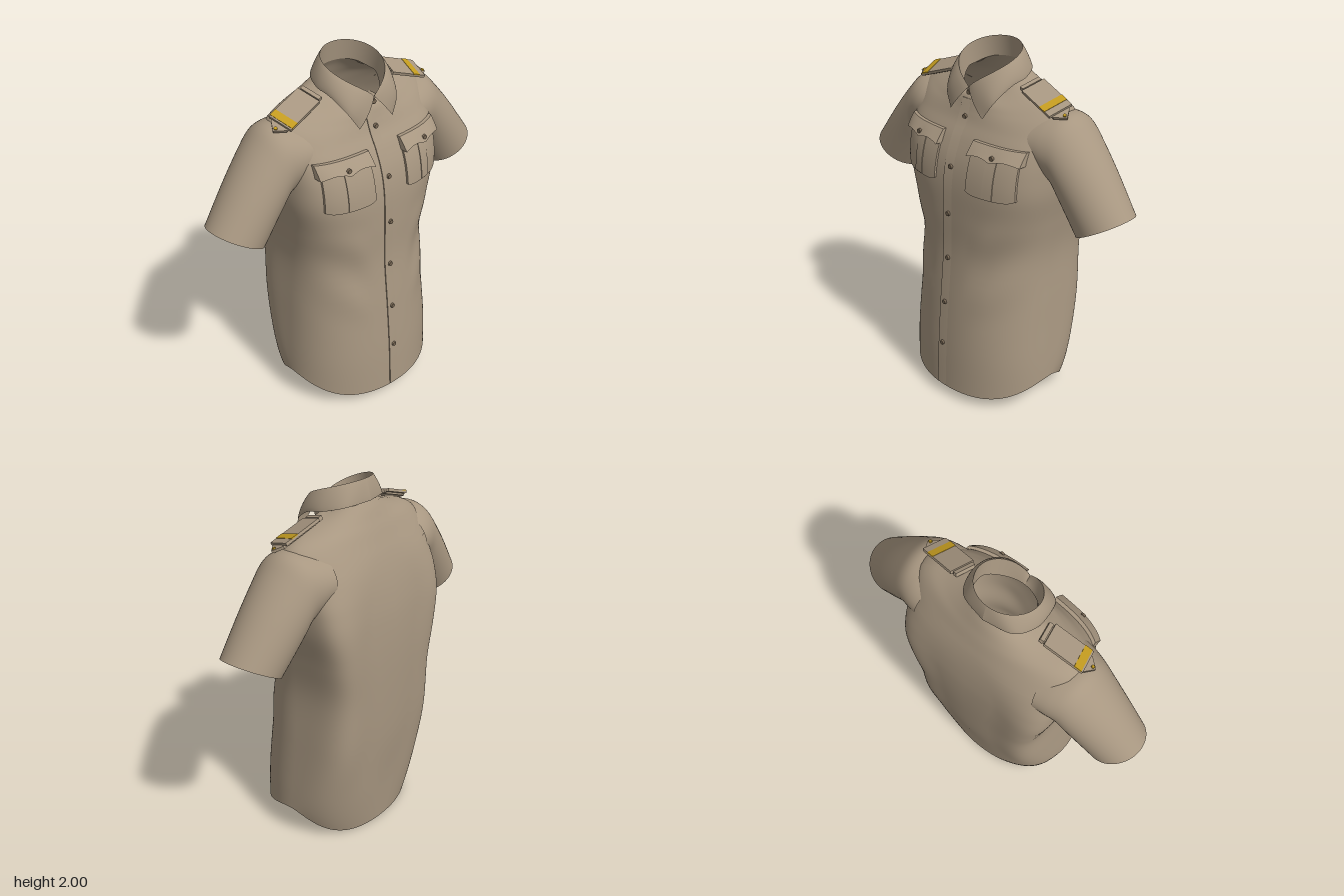
import * as THREE from 'three';
import { mergeVertices, toCreasedNormals } from 'three/addons/utils/BufferGeometryUtils.js';

const { lerp, smoothstep } = THREE.MathUtils;

// Torso rows: side, front and back height, half width, front z, back z, middle z, front and back squareness
const ROWS = [
  [0.165, 0.06, 0, 0.463, 0.38, -0.312, 0, 2.1, 2.1],
  [0.3, 0.3, 0.3, 0.457, 0.368, -0.335, -0.02, 2.2, 3.2],
  [0.6, 0.6, 0.6, 0.436, 0.343, -0.36, -0.03, 2.2, 4.4],
  [0.9, 0.9, 0.9, 0.418, 0.313, -0.37, -0.03, 2.3, 5],
  [1.12, 1.12, 1.12, 0.442, 0.308, -0.37, -0.03, 2.6, 6],
  [1.3, 1.3, 1.3, 0.474, 0.3, -0.36, -0.03, 3, 6.5],
  [1.43, 1.43, 1.43, 0.483, 0.277, -0.343, -0.04, 3.2, 5.5],
  [1.54, 1.54, 1.54, 0.487, 0.235, -0.32, -0.045, 3.2, 4],
  [1.64, 1.62, 1.63, 0.497, 0.192, -0.293, -0.055, 2.7, 2.8],
  [1.72, 1.67, 1.7, 0.487, 0.172, -0.265, -0.06, 2.2, 2.2],
  [1.768, 1.7, 1.755, 0.42, 0.162, -0.242, -0.06, 2, 2],
  [1.8, 1.73, 1.8, 0.31, 0.152, -0.22, -0.05, 2, 2],
  [1.83, 1.75, 1.85, 0.215, 0.14, -0.195, -0.03, 2, 2],
  [1.845, 1.76, 1.885, 0.165, 0.122, -0.172, -0.025, 2, 2],
];
// Sleeve rings: top x, top y, bottom x, bottom y, front z, back z
const SLEEVE = [
  [0.36, 1.725, 0.4, 1.42, 0.15, -0.28],
  [0.45, 1.735, 0.44, 1.385, 0.142, -0.27],
  [0.53, 1.723, 0.485, 1.34, 0.13, -0.254],
  [0.61, 1.65, 0.525, 1.275, 0.125, -0.243],
  [0.74, 1.5, 0.565, 1.21, 0.12, -0.225],
  [0.9, 1.29, 0.62, 1.13, 0.115, -0.2],
];

// Smooth interpolation through the rows of a table
function sample(table, t) {
  const n = table.length - 1, i = Math.min(Math.floor(t), n - 1), f = t - i;
  const a = table[Math.max(i - 1, 0)], b = table[i], c = table[i + 1], d = table[Math.min(i + 2, n)];
  return b.map((p, k) => p + 0.5 * f * (c[k] - a[k]
    + f * (2 * a[k] - 5 * p + 4 * c[k] - d[k] + f * (3 * (p - c[k]) + d[k] - a[k]))));
}

// Surface from a rule f(u, v) -> [x, y, z]
function grid(f, nu, nv) {
  const pos = [], index = [], w = nu + 1;
  for (let j = 0; j <= nv; j++) for (let i = 0; i <= nu; i++) pos.push(...f(i / nu, j / nv));
  for (let j = 0; j < nv; j++) for (let i = 0; i < nu; i++) {
    const a = j * w + i;
    index.push(a, a + 1, a + w + 1, a, a + w + 1, a + w);
  }
  const g = new THREE.BufferGeometry();
  g.setAttribute('position', new THREE.Float32BufferAttribute(pos, 3));
  g.setIndex(index);
  const merged = mergeVertices(g, 1e-5);
  merged.computeVertexNormals();
  return merged;
}

// Soft cloth folds at the waist and down the back
function fold(x, y, q) {
  const band = smoothstep(y, 0.45, 0.8) * (1 - smoothstep(y, 0.95, 1.25));
  if (q > 0) return 0.009 * q * band * smoothstep(Math.abs(x), 0.1, 0.25) * Math.sin(16 * (y - 0.8 * Math.abs(x)));
  return 0.007 * q * Math.cos(16 * x) * smoothstep(y, 0.2, 0.6) * (1 - smoothstep(y, 1.2, 1.6));
}

function torsoPoint(angle, t, out = 0) {
  const [ys, yf, yb, hw, zf, zb, zm, nf, nb] = sample(ROWS, t);
  const c = Math.cos(angle), s = Math.sin(angle), e = 2 / (s > 0 ? nf : nb);
  const x = hw * Math.sign(c) * Math.abs(c) ** e, q = Math.sign(s) * Math.abs(s) ** e;
  const y = lerp(ys, s > 0 ? yf : yb, smoothstep(Math.abs(q), 0, 1));
  const z = zm + q * (s > 0 ? zf - zm : zm - zb) + fold(x, y, q);
  return [x + out * c, y, z + out * s];
}

// Row parameter at a height, measured on the front or back
function rowAt(y, column) {
  let lo = 0, hi = ROWS.length - 1;
  for (let k = 0; k < 30; k++) {
    const mid = (lo + hi) / 2;
    if (sample(ROWS, mid)[column] < y) lo = mid; else hi = mid;
  }
  return lo;
}

function frontZ(x, y) {
  const [, , , hw, zf, , zm, n] = sample(ROWS, rowAt(y, 1));
  const q = Math.max(0, 1 - Math.abs(x / hw) ** n) ** (1 / n);
  return zm + q * (zf - zm) + fold(x, y, q);
}

// Raised cloth patch on the chest, with its edges turned down
function patch(x0, x1, bottom, top, depth, nu, nv) {
  const g = grid((u, v) => {
    const i = Math.round(u * (nu + 2)), j = Math.round(v * (nv + 2));
    const edge = i === 0 || j === 0 || i === nu + 2 || j === nv + 2;
    const a = THREE.MathUtils.clamp((i - 1) / nu, 0, 1), b = THREE.MathUtils.clamp((j - 1) / nv, 0, 1);
    const x = lerp(x0, x1, a), y = lerp(bottom(a), top(a), b);
    return [x, y, frontZ(x, y) + (edge ? -0.004 : depth(a, b))];
  }, nu + 2, nv + 2);
  return toCreasedNormals(g, 0.7);
}

export function createModel() {
  const model = new THREE.Group();
  const mat = (name, color) => {
    const m = new THREE.MeshStandardMaterial({ color, side: THREE.DoubleSide });
    m.name = name;
    return m;
  };
  const cloth = mat('khaki cloth', 0xa89781);
  const gold = mat('gold braid', 0xc49c20);
  const buttonBrown = mat('button brown', 0x776754);
  const add = (name, geometry, material = cloth, parent = model) => {
    const mesh = new THREE.Mesh(geometry, material);
    mesh.name = name;
    parent.add(mesh);
    return mesh;
  };
  const last = ROWS.length - 1;

  // Body and back yoke
  add('body', grid((u, v) => torsoPoint(-2 * Math.PI * u, v * last), 144, 78));
  const yokeStart = rowAt(1.61, 2);
  add('backYoke', grid((u, v) => torsoPoint(-lerp(0.2, Math.PI - 0.2, u),
    lerp(yokeStart, last - 0.6, v), 0.003), 64, 24));

  // Button placket, standing proud along one edge only
  add('placket', patch(-0.052, 0.045, () => 0.065, () => 1.735, (a) => 0.005 - 0.008 * a, 4, 60));

  const button = (name, x, y, z) => {
    const b = add(name, new THREE.CylinderGeometry(0.012, 0.014, 0.012, 16), buttonBrown);
    b.position.set(x, y, z);
    b.rotation.x = Math.PI / 2;
  };
  for (const y of [0.34, 0.6, 0.87, 1.135, 1.4, 1.65]) button('frontButton', -0.024 + 0.01 * y, y, frontZ(0, y) + 0.006);
  button('collarButton', 0, 1.775, 0.16);

  // Collar: fold line on top, standing band inside, falling leaf outside
  const foldLine = (a, s) => [s * 0.168 * Math.sin(a),
    1.803 + 0.197 * ((1 - Math.cos(a)) / 2) ** 0.4, 0.003 + 0.158 * Math.cos(a)];
  const leafEdge = new THREE.CatmullRomCurve3([
    [0.115, 1.665, 0.18], [0.17, 1.755, 0.152], [0.205, 1.83, 0.06],
    [0.21, 1.855, -0.04], [0.155, 1.882, -0.145], [0, 1.89, -0.188],
  ].map((p) => new THREE.Vector3(...p)));

  for (const s of [1, -1]) {
    const side = s > 0 ? 'left' : 'right';

    add(side + 'CollarBand', grid((u, v) => {
      const a = u * Math.PI, c = Math.cos(a), top = foldLine(a, s);
      const base = [s * 0.165 * Math.sin(a), 1.845 + (c > 0 ? -0.085 : 0.04) * smoothstep(Math.abs(c), 0, 1), -0.025 + 0.147 * c];
      return base.map((p, k) => lerp(p, top[k], v));
    }, 40, 4));

    add(side + 'CollarLeaf', grid((u, v) => {
      const a = u * Math.PI, top = foldLine(a, s), e = leafEdge.getPoint(u);
      const bulge = (0.009 + 0.005 * Math.cos(a)) * Math.sin(Math.PI * v) ** 0.7;
      return [lerp(top[0], s * e.x, v) + s * bulge * Math.sin(a), lerp(top[1], e.y, v),
        lerp(top[2], e.z, v) + bulge * Math.cos(a)];
    }, 40, 10));

    // Short sleeve
    add(side + 'Sleeve', grid((u, v) => {
      const [tx, ty, bx, by, zf, zb] = sample(SLEEVE, v * (SLEEVE.length - 1));
      const a = u * 2 * Math.PI, k = (1 - Math.cos(a)) / 2;
      return [s * lerp(tx, bx, k), lerp(ty, by, k), (zf + zb) / 2 + (zf - zb) / 2 * Math.sin(a)];
    }, 56, 30));

    // Chest pocket with pleat, flap and button
    const xs = (a, b) => (s > 0 ? [a, b] : [-b, -a]);
    add(side + 'Pocket', patch(...xs(0.115, 0.395), (u) => 1.295 + 0.015 * Math.abs(2 * u - 1) ** 6,
      () => 1.54, () => 0.012, 16, 10));
    add(side + 'PocketPleat', patch(...xs(0.225, 0.285), () => 1.3, () => 1.52, () => 0.016, 3, 8));
    add(side + 'PocketFlap', patch(...xs(0.11, 0.415),
      (u) => 1.497 + 0.016 * Math.sin(2 * Math.PI * Math.abs(u - 0.5)), () => 1.567,
      (u, v) => 0.02 + 0.024 * (1 - v), 18, 6));
    button(side + 'PocketButton', s * 0.267, 1.52, frontZ(0.267, 1.52) + 0.038);

    // Shoulder board: pointed strap, slip-on board, braid, inner loop and end stud
    const board = new THREE.Group();
    board.name = side + 'ShoulderBoard';
    board.position.set(s * 0.375, 1.793, -0.01);
    board.rotation.set(0.3, -0.14 * s, -0.33 * s, 'YZX');
    model.add(board);
    const strap = new THREE.Shape([[-0.13, -0.05], [0.12, -0.05], [0.165, 0], [0.12, 0.05], [-0.13, 0.05]]
      .map(([x, y]) => new THREE.Vector2(s * x, y)));
    const strapGeometry = new THREE.ExtrudeGeometry(strap, { depth: 0.014, bevelEnabled: false });
    strapGeometry.rotateX(Math.PI / 2);
    add('strap', strapGeometry, cloth, board).position.y = -0.004;
    add('board', new THREE.BoxGeometry(0.225, 0.016, 0.138), cloth, board);
    add('braid', new THREE.BoxGeometry(0.042, 0.006, 0.14), gold, board)
      .position.set(s > 0 ? 0.052 : -0.082, 0.007, 0);
    add('loop', new THREE.BoxGeometry(0.022, 0.022, 0.115), cloth, board).position.set(s * -0.13, -0.004, 0);
    add('endStud', new THREE.CylinderGeometry(0.009, 0.009, 0.008, 14), gold, board).position.set(s * 0.145, -0.002, 0);
  }
  return model;
}
